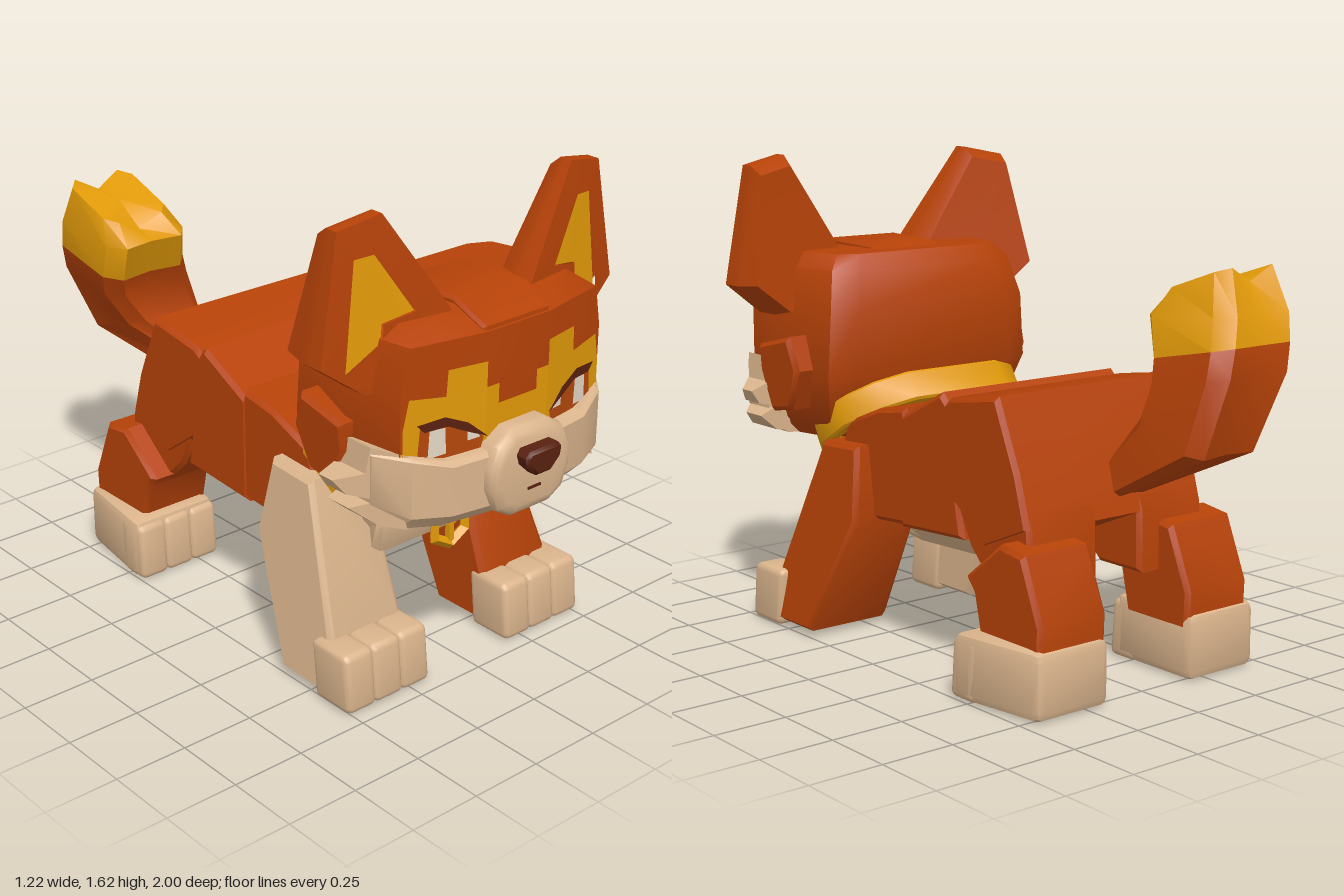
import * as THREE from 'three';
import { toCreasedNormals } from 'three/addons/utils/BufferGeometryUtils.js';
import { RoundedBoxGeometry } from 'three/addons/geometries/RoundedBoxGeometry.js';

const mat = (name, color) => {
  const m = new THREE.MeshStandardMaterial({ color });
  m.name = name;
  return m;
};
const clamp = THREE.MathUtils.clamp, lerp = THREE.MathUtils.lerp;
const shapeOf = (pts) => new THREE.Shape(pts.map((p) => new THREE.Vector2(p[0], p[1])));

// Moves vertices by a rule, mirrors if side is -1, then creases the normals
function finish(geo, rule, side = 1) {
  const g = geo.index ? geo.toNonIndexed() : geo;
  g.deleteAttribute('uv');
  g.clearGroups();
  const p = g.attributes.position, v = new THREE.Vector3();
  for (let i = 0; i < p.count; i++) {
    v.fromBufferAttribute(p, i);
    if (rule) rule(v);
    p.setXYZ(i, v.x * side, v.y, v.z);
  }
  if (side < 0) flipFaces(p);
  g.computeVertexNormals();
  return toCreasedNormals(g, 0.7);
}
function flipFaces(p) {
  const a = new THREE.Vector3(), b = new THREE.Vector3();
  for (let i = 0; i < p.count; i += 3) {
    a.fromBufferAttribute(p, i + 1);
    b.fromBufferAttribute(p, i + 2);
    p.setXYZ(i + 1, b.x, b.y, b.z);
    p.setXYZ(i + 2, a.x, a.y, a.z);
  }
}
// Side profile of [z, y] points widened to x = -hw..hw with chamfered edges
function slab(profile, hw, b = 0.015) {
  return plate(profile, -hw, hw, b).rotateY(-Math.PI / 2);
}
// Front outline of [x, y] points extruded from z0 to z1
function plate(pts, z0, z1, b = 0, hole, bevelSegments = 1) {
  const s = shapeOf(pts);
  if (hole) s.holes.push(shapeOf(hole));
  return new THREE.ExtrudeGeometry(s, {
    depth: z1 - z0 - 2 * b, bevelEnabled: b > 0, bevelSegments, bevelSize: b, bevelThickness: b, bevelOffset: -b,
  }).translate(0, 0, z0 + b);
}
// Closed skin over rings of points, with fan caps
function loft(rings) {
  const pos = [], n = rings[0].length;
  const tri = (...vs) => vs.forEach((v) => pos.push(v.x, v.y, v.z));
  const mid = (r) => r.reduce((s, v) => s.add(v), new THREE.Vector3()).divideScalar(n);
  const c0 = mid(rings[0]), c1 = mid(rings.at(-1));
  for (let j = 0; j < n; j++) {
    const k = (j + 1) % n;
    for (let i = 0; i + 1 < rings.length; i++) {
      const [a, b] = [rings[i], rings[i + 1]];
      tri(a[j], a[k], b[k]);
      tri(a[j], b[k], b[j]);
    }
    tri(c0, rings[0][k], rings[0][j]);
    tri(c1, rings.at(-1)[j], rings.at(-1)[k]);
  }
  const g = new THREE.BufferGeometry();
  g.setAttribute('position', new THREE.Float32BufferAttribute(pos, 3));
  const p = g.attributes.position, [a, b, c] = [0, 1, 2].map(() => new THREE.Vector3());
  let vol = 0;
  for (let i = 0; i < p.count; i += 3) {
    [a, b, c].forEach((v, k) => v.fromBufferAttribute(p, i + k).sub(c0));
    vol += a.dot(b.cross(c));
  }
  if (vol < 0) flipFaces(p);
  return g;
}

export function createModel() {
  const orange = mat('orange fur', 0xb64208), cream = mat('cream fur', 0xdab48c);
  const gold = mat('gold', 0xe29a09), dark = mat('dark brown', 0x592110);
  const white = mat('eye white', 0xe6d8c6), rust = mat('iris rust', 0xb4480c);
  const model = new THREE.Group();
  model.name = 'fox';
  const add = (name, geo, material, rule, side) => {
    const m = new THREE.Mesh(finish(geo, rule, side), material);
    m.name = name;
    model.add(m);
  };
  const SIDES = [[1, 'left'], [-1, 'right']];

  // Body segments
  add('shoulders', slab([[0.37, 0.64], [0.33, 0.75], [0.15, 0.82], [0, 0.845], [-0.03, 0.7], [-0.03, 0.455], [0.17, 0.44], [0.36, 0.5]], 0.365), orange);
  add('waist', slab([[0.02, 0.815], [-0.2, 0.925], [-0.25, 0.88], [-0.29, 0.56], [-0.31, 0.465], [0.02, 0.445]], 0.37), orange);
  add('hips', slab([[-0.2, 0.885], [-0.25, 0.915], [-0.48, 0.95], [-0.58, 0.72], [-0.63, 0.55], [-0.42, 0.46], [-0.27, 0.57], [-0.2, 0.58]], 0.37), orange);
  add('chestAndBelly', slab([[0.5, 0.65], [0.54, 0.52], [0.5, 0.4], [0.22, 0.32], [-0.35, 0.345], [-0.42, 0.37], [-0.42, 0.47], [0.2, 0.52], [0.3, 0.65]], 0.25), cream,
    (v) => { v.x *= 0.55 + 0.45 * clamp((v.y - 0.34) / 0.08, 0, 1); });

  // Legs and feet
  for (const [s, n] of SIDES) {
    add(n + 'FrontLeg', slab([[0.4, 0.68], [0.575, 0.21], [0.56, 0.03], [0.365, 0.03], [0.166, 0.44], [0.2, 0.69]], 0.115), s > 0 ? orange : cream, (v) => {
      const t = (0.68 - v.y) / 0.66;
      v.x = 0.3 + 0.045 * t + v.x * (1 + 0.45 * t);
    }, s);
    add(n + 'Thigh', slab([[-0.25, 0.62], [-0.34, 0.45], [-0.44, 0.35], [-0.64, 0.35], [-0.635, 0.55], [-0.56, 0.74], [-0.3, 0.74]], 0.14), orange,
      (v) => { v.x += 0.226; }, s);
    add(n + 'HindLowerLeg', slab([[-0.41, 0.385], [-0.45, 0.34], [-0.49, 0.17], [-0.77, 0.17], [-0.775, 0.3], [-0.69, 0.505], [-0.58, 0.52]], 0.135), orange,
      (v) => { v.x += 0.305; }, s);
    // Hind foot flares outwards towards the toes
    add(n + 'HindFoot', new RoundedBoxGeometry(0.29, 0.22, 0.355, 1, 0.03), cream, (v) => {
      v.x = 0.315 + v.x + (v.x > 0 ? 0.05 : 0) * (0.5 + v.z / 0.355);
      v.y += 0.118;
      v.z -= 0.612;
    }, s);
    for (let i = 0; i < 3; i++) {
      const x = 0.232 + i * 0.113, hx = 0.226 + i * 0.109;
      add(n + 'FrontToe', new RoundedBoxGeometry(0.118, 0.2, 0.17, 2, 0.022), cream,
        (v) => { v.z += 0.62 - 0.2 * Math.max(0, v.y); v.x += x; v.y += 0.112; }, s);
      add(n + 'HindToe', new RoundedBoxGeometry(0.112, 0.2, 0.12, 2, 0.022), cream,
        (v) => { v.z -= 0.47 + 0.15 * Math.max(0, v.y); v.x += hx; v.y += 0.111; }, s);
    }
  }

  // Tail: each ring runs from a front to a back [z, y] point, with centre x and half width
  const section = [[1, -0.7], [0.7, -1], [0, -0.92], [-0.7, -1], [-1, -0.7], [-1, 0.7], [-0.7, 1], [0, 0.92], [0.7, 1], [1, 0.7]];
  const tailRing = ([az, ay, bz, by, cx, hw, groove = 0]) => section.map(([u, w]) => new THREE.Vector3(
    cx + u * hw, lerp(ay, by, (w + 1) / 2) - (u === 0 ? groove : 0), lerp(az, bz, (w + 1) / 2)));
  const tailSplit = [-0.64, 1.04, -0.99, 1.11, -0.255, 0.17];
  add('tail', loft([[-0.55, 0.7, -0.6, 0.6, -0.07, 0.07], [-0.66, 0.86, -0.94, 0.77, -0.17, 0.15],
    [-0.665, 0.97, -1, 1.02, -0.23, 0.175], tailSplit].map(tailRing)), orange);
  add('tailTip', loft([tailSplit, [-0.59, 1.17, -0.97, 1.2, -0.275, 0.16], [-0.64, 1.25, -0.9, 1.34, -0.295, 0.125, 0.045]].map(tailRing)), gold);

  // Collar and pendant
  const oct = (a, b) => [[a, 0.3 * b], [0.78 * a, 0.78 * b], [0.5 * a, b]].flatMap(([x, y]) => [[x, y], [-x, y], [x, -y], [-x, -y]])
    .sort((p, q) => Math.atan2(p[1], p[0]) - Math.atan2(q[1], q[0]));
  add('collar', plate(oct(0.38, 0.27), -0.052, 0.052, 0.008, oct(0.33, 0.22))
    .rotateX(Math.PI / 2 + 0.55).translate(0, 0.735, 0.415), gold);
  const pendant = (name, geo) => add(name, geo.translate(-0.035, 0.505, 0.635), gold);
  pendant('pendantRing', new THREE.TorusGeometry(0.076, 0.02, 4, 6).rotateZ(Math.PI / 6));
  for (let i = 0; i < 3; i++) {
    pendant('pendantBar', new THREE.BoxGeometry(0.08, 0.02, 0.02).translate(0.04, 0, 0).rotateZ(Math.PI / 6 + i * Math.PI * 2 / 3));
  }
  pendant('pendantLink', new THREE.BoxGeometry(0.025, 0.05, 0.025).translate(0, 0.1, 0));

  // Head skull: rows of y, half width, front corner x, front z, back z
  const faceZ = (x) => 0.87 - 0.2 * Math.max(0, Math.abs(x) - 0.13);
  const skull = [[0.665, 0.36, 0.32, 0.82, 0.45], [0.73, 0.42, 0.4, 0.85, 0.37], [0.9, 0.47, 0.42, 0.87, 0.31],
    [1.12, 0.455, 0.42, 0.87, 0.31], [1.255, 0.42, 0.39, 0.87, 0.345], [1.305, 0.37, 0.34, 0.74, 0.38]];
  add('head', loft(skull.map(([y, w, fx, zf, zb]) => {
    const half = [[0.13, zf], [fx, zf + faceZ(fx) - 0.87], [w, lerp(zb, zf, 0.55)], [w * 0.9, zb + 0.035], [w * 0.7, zb]];
    return [...half, ...half.map(([x, z]) => [-x, z]).reverse()].map(([x, z]) => new THREE.Vector3(x, y, z));
  })), orange);
  add('crest', slab([[0.868, 1.2], [0.865, 1.27], [0.73, 1.325], [0.5, 1.318], [0.4, 1.28], [0.4, 1.1], [0.5, 1.1]], 0.14, 0.01), orange);

  // Ears with recessed gold inside, cheeks with tufts, and sideburns
  const ear = [[0.14, 1.26], [0.39, 1.63], [0.54, 1.6], [0.61, 1.2], [0.46, 1.09], [0.3, 1.14]];
  const inner = [[0.29, 1.32], [0.42, 1.515], [0.49, 1.51], [0.53, 1.16], [0.405, 1.24], [0.4, 1.3]];
  const earRule = (v) => {
    const h = clamp((v.y - 1.1) / 0.53, 0, 1), k = 0.9 + 0.1 * clamp(v.z * 2, 0, 1);
    const z = 0.745 - 0.03 * h * h - 0.18 * (v.x - 0.25) - (0.19 - 0.1 * h) * (1 - v.z);
    v.set(0.42 + (v.x - 0.42) * k, 1.28 + (v.y - 1.28) * k, z);
  };
  // Cheek rows of x, bottom y, top y, front z
  const cheek = [[0.1, 0.66, 0.89, 0.925], [0.28, 0.66, 0.885, 0.895], [0.4, 0.67, 0.92, 0.845], [0.48, 0.715, 0.935, 0.755]];
  const tufts = [[[0.4, 0.92], [0.48, 0.945], [0.49, 0.86], [0.56, 0.835], [0.53, 0.79], [0.42, 0.765]],
    [[0.42, 0.79], [0.525, 0.745], [0.46, 0.69], [0.4, 0.68]]];
  for (const [s, n] of SIDES) {
    add(n + 'EarRim', plate(ear, 0.7, 1, 0, inner), orange, earRule, s);
    add(n + 'EarBack', loft([0, 0.5, 0.7].map((z) => ear.map(([x, y]) => new THREE.Vector3(x, y, z)))), orange, earRule, s);
    add(n + 'EarInside', new THREE.ShapeGeometry(shapeOf(inner)).translate(0, 0, 0.94), gold, earRule, s);
    add(n + 'Cheek', loft(cheek.map(([x, yb, yt, zf]) => [[yb, 0.63], [yb, zf - 0.05], [yb + 0.05, zf], [yt - 0.015, zf], [yt, zf - 0.02], [yt, 0.63]]
      .map(([y, z]) => new THREE.Vector3(x, y, z)))), cream, null, s);
    for (const t of tufts) {
      add(n + 'CheekTuft', plate(t, 0, 1), cream, (v) => { v.z = lerp(0.61, 0.83 - 1.0 * (v.x - 0.4), v.z); }, s);
    }
    add(n + 'Sideburn', slab([[0.65, 0.9], [0.65, 0.99], [0.46, 1.035], [0.42, 0.92], [0.48, 0.78], [0.6, 0.76]], 0.05, 0.015), orange,
      (v) => { v.x += 0.455 + 0.08 * (v.y - 0.95); }, s);
  }

  // Snout, nose and mouth
  const mirrored = (half) => [...half, ...half.map(([x, y]) => [-x, y]).reverse()];
  add('snout', plate(mirrored([[0.075, 0.945], [0.14, 0.905], [0.17, 0.84], [0.17, 0.77], [0.14, 0.695], [0.08, 0.66]]), 0.68, 0.957, 0.035, null, 3), cream,
    (v) => { if (v.z > 0.8) v.z -= 0.25 * Math.max(0, v.y - 0.87); });
  add('nose', plate(mirrored([[0.06, 0.888], [0.076, 0.87], [0.07, 0.84], [0.03, 0.802]]), 0.92, 1, 0.01), dark);
  add('mouth', new THREE.BoxGeometry(0.055, 0.008, 0.006).translate(0, 0.745, 0.958), dark);

  // Face markings and eyes, laid just above the face
  const marking = (name, pts, material, lift) => {
    for (const [s, n] of SIDES) {
      add(n + name, new THREE.ShapeGeometry(shapeOf(pts)), material, (v) => { v.z = faceZ(v.x) + lift; }, s);
    }
  };
  marking('MaskInner', [[0, 0.86], [0.13, 0.86], [0.13, 1.08], [0.08, 1.08], [0.08, 1.015], [0, 1.015]], gold, 0.004);
  marking('MaskOuter', [[0.13, 0.86], [0.415, 0.86], [0.415, 1.0], [0.395, 1.095], [0.27, 1.08], [0.265, 1.163], [0.13, 1.163]], gold, 0.004);
  marking('Iris', [[0.15, 0.89], [0.14, 0.925], [0.2, 0.965], [0.28, 1.0], [0.36, 1.0], [0.37, 0.88]], rust, 0.008);
  marking('EyeWhite', [[0.272, 0.9], [0.277, 0.985], [0.33, 0.985], [0.335, 0.895]], white, 0.011);
  marking('EyeGlint', [[0.155, 0.928], [0.2, 0.925], [0.2, 0.955], [0.165, 0.945]], white, 0.011);
  marking('Eyelid', [[0.13, 0.925], [0.2, 0.985], [0.28, 1.02], [0.375, 1.012], [0.35, 0.985], [0.27, 0.988], [0.2, 0.955]], dark, 0.014);

  return model;
}
